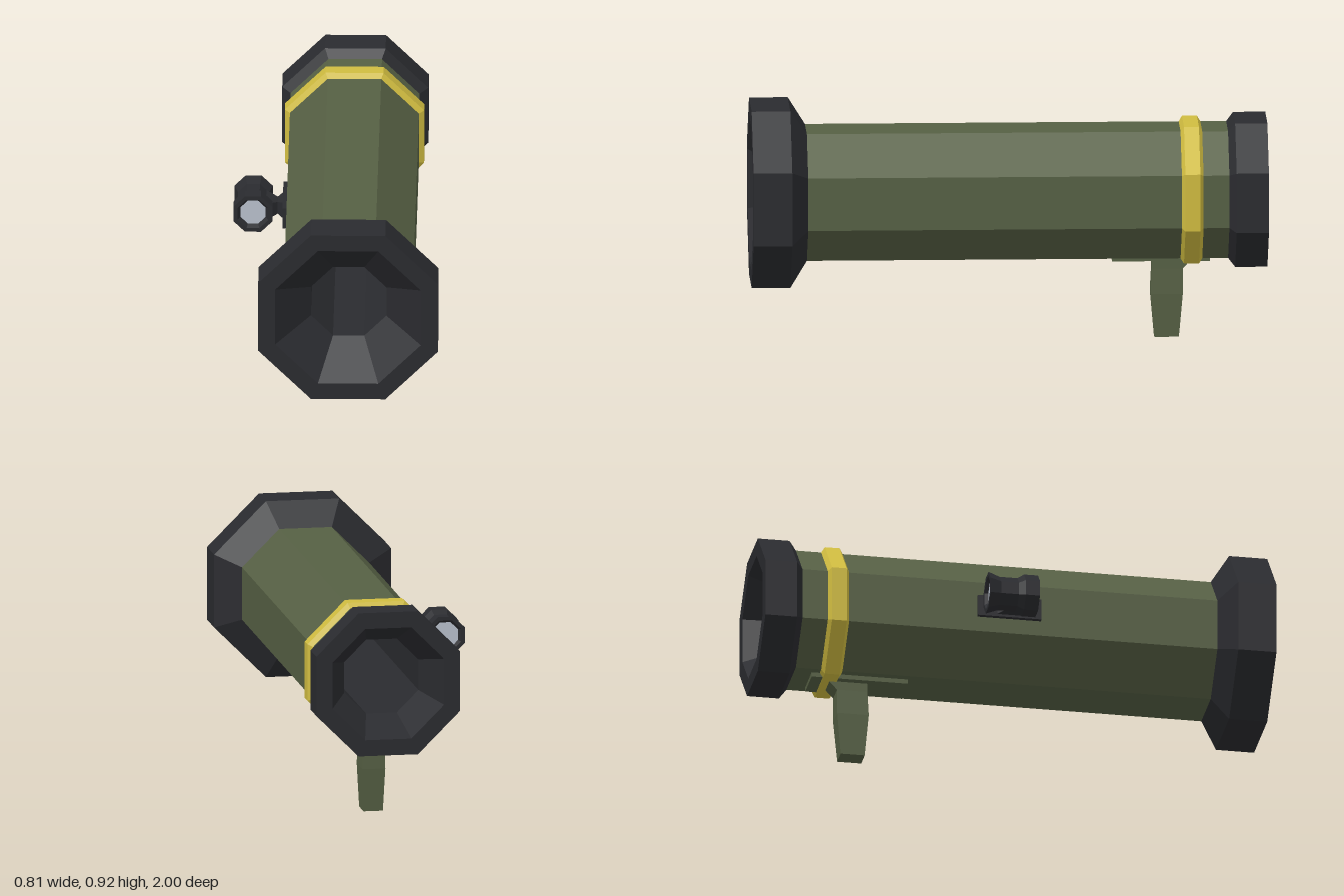
import * as THREE from 'three';

const paint = (color) => new THREE.MeshStandardMaterial({ color, flatShading: true });

// Octagonal part along z, flat side up; profile is [apothem, z], outside running to +z
function octagon(profile, x, y) {
  const k = 1 / Math.cos(Math.PI / 8);
  const points = profile.map(([a, z]) => new THREE.Vector2(a * k, z));
  return new THREE.LatheGeometry(points, 8, Math.PI / 8).rotateX(Math.PI / 2).translate(x, y, 0);
}

// Rectangular cross-sections stacked along y: [y, half width in x, z min, z max]
function stack(sections) {
  const pos = [], idx = [];
  for (const [y, w, z0, z1] of sections) pos.push(-w, y, z0, w, y, z0, w, y, z1, -w, y, z1);
  const last = (sections.length - 1) * 4;
  for (let i = 0; i < last; i += 4) {
    for (let k = 0; k < 4; k++) {
      const a = i + k, b = i + (k + 1) % 4;
      idx.push(a, a + 4, b + 4, a, b + 4, b);
    }
  }
  idx.push(0, 1, 2, 0, 2, 3, last, last + 3, last + 2, last, last + 2, last + 1);
  const g = new THREE.BufferGeometry();
  g.setAttribute('position', new THREE.Float32BufferAttribute(pos, 3));
  g.setIndex(idx);
  g.computeVertexNormals();
  return g;
}

export function createModel() {
  const model = new THREE.Group();
  const green = paint(0x566044), black = paint(0x2a2b2f);
  const yellow = paint(0xd0bc40), glass = paint(0xb8c0cc);
  const cx = 0.0525, cy = 0.573;

  const add = (name, geometry, material, parent = model) => {
    const mesh = new THREE.Mesh(geometry, material);
    mesh.name = name;
    parent.add(mesh);
    return mesh;
  };

  // Launch tube and the bore running through it
  add('tube', octagon([[0.25, -0.87], [0.25, 0.8]], cx, cy), green);
  add('bore', octagon([[0.146, 0.85], [0.146, -0.85]], cx, cy), black);

  // Flared ends with funnel openings
  add('frontMuzzle', octagon([
    [0.25, 0.785], [0.348, 0.85], [0.348, 1], [0.282, 1], [0.146, 0.85],
  ], cx, cy), black);
  add('rearMuzzle', octagon([
    [0.146, -0.85], [0.22, -1], [0.283, -1], [0.283, -0.875], [0.25, -0.848],
  ], cx, cy), black);

  // Bevelled marking band
  add('band', octagon([
    [0.25, -0.748], [0.27, -0.735], [0.27, -0.677], [0.25, -0.664],
  ], cx, cy), yellow);

  // Grip and the plate that holds it
  const grip = new THREE.Group();
  grip.name = 'grip';
  grip.position.x = 0.05;
  model.add(grip);
  add('gripPlate', new THREE.BoxGeometry(0.14, 0.025, 0.38).translate(0, 0.3175, -0.59), green, grip);
  add('gripHandle', stack([
    [0, 0.038, -0.66, -0.565],
    [0.17, 0.045, -0.675, -0.55],
    [0.27, 0.042, -0.675, -0.555],
    [0.308, 0.042, -0.71, -0.555],
  ]), green, grip);

  // Side sight: hollow-ended scope with a lens at each end
  const sight = new THREE.Group();
  sight.name = 'sight';
  model.add(sight);
  const sx = -0.33;
  add('scopeBody', octagon([
    [0.05, -0.13], [0.06, -0.145], [0.075, -0.145], [0.06, -0.1],
    [0.06, -0.03], [0.075, -0.005], [0.075, 0.05], [0.06, 0.05], [0.048, 0.03],
  ], sx, cy), black, sight);
  add('frontLens', octagon([[0.049, 0.031], [0, 0.031]], sx, cy), glass, sight);
  add('rearLens', octagon([[0, -0.131], [0.052, -0.131]], sx, cy), glass, sight);

  // Waisted bracket and mounting plate against the tube
  add('sightBracket', stack([
    [-0.28, 0.035, -0.1, 0.03],
    [-0.235, 0.025, -0.06, -0.01],
    [-0.21, 0.035, -0.09, 0.02],
  ]).rotateZ(-Math.PI / 2).translate(0, cy, 0), black, sight);
  add('sightPlate', new THREE.BoxGeometry(0.02, 0.085, 0.25).translate(-0.205, cy, -0.035), black, sight);

  return model;
}
